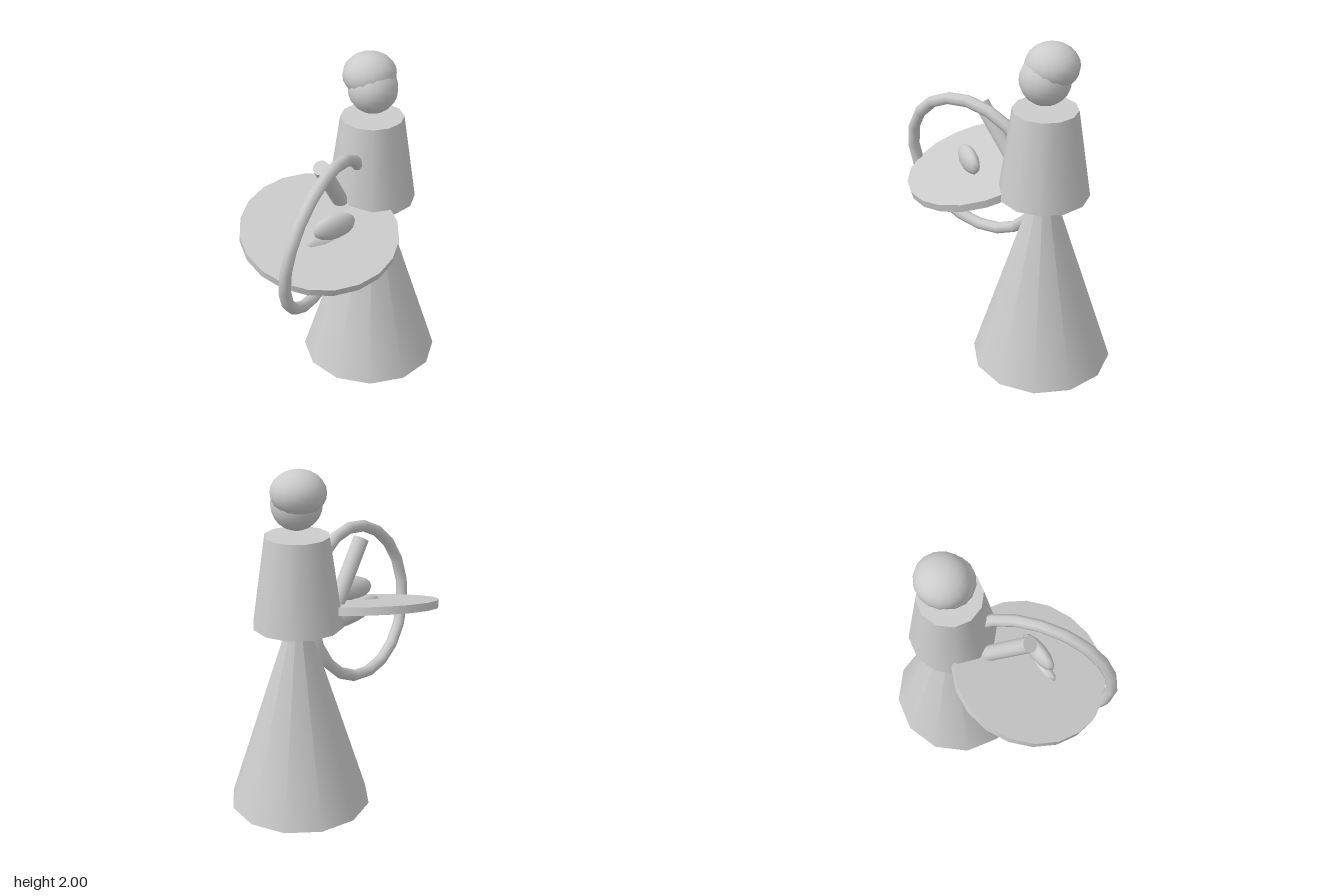
import * as THREE from 'three';

const material = new THREE.MeshStandardMaterial({ color: 0xcccccc });

export function createModel() {
  const model = new THREE.Group();
  model.name = 'figureWithTray';

  const add = (name, geometry, x, y, z) => {
    const mesh = new THREE.Mesh(geometry, material);
    mesh.name = name;
    mesh.position.set(x, y, z);
    model.add(mesh);
    return mesh;
  };
  const ellipsoid = (rx, ry, rz, w = 16, h = 12) =>
    new THREE.SphereGeometry(1, w, h).scale(rx, ry, rz);

  // Standing figure: conical skirt, tapered coat, head and hair
  const bx = 0.245, bz = -0.115;
  add('skirt', new THREE.ConeGeometry(0.415, 1.3, 12), bx, 0.65, bz);
  add('coat', new THREE.CylinderGeometry(0.183, 0.26, 0.52, 12), bx, 1.37, bz);
  add('head', ellipsoid(0.143, 0.143, 0.143), bx, 1.803, -0.112);
  add('hair', ellipsoid(0.155, 0.125, 0.15), bx, 1.875, -0.15);

  // Tilted round tray
  const tray = add('tray', new THREE.CylinderGeometry(0.45, 0.45, 0.046, 20), -0.215, 1.105, 0.08);
  tray.rotation.set(THREE.MathUtils.degToRad(15), 0, THREE.MathUtils.degToRad(3.5));

  // Large hoop crossing the tray, its far side sunk in the body
  const hoop = add('hoop', new THREE.TorusGeometry(0.447, 0.035, 8, 20), -0.21, 1.11, 0.13);
  const across = new THREE.Vector3(0.372, -0.013, -0.245).normalize();
  const up = new THREE.Vector3(0.045, 0.445, 0.05);
  const normal = new THREE.Vector3().crossVectors(across, up).normalize();
  up.crossVectors(normal, across);
  hoop.quaternion.setFromRotationMatrix(new THREE.Matrix4().makeBasis(across, up, normal));

  // Slanted rod rising from the tray
  const foot = new THREE.Vector3(0, 1.175, -0.055);
  const tip = new THREE.Vector3(-0.2, 1.51, 0.08);
  const along = tip.clone().sub(foot);
  const mid = foot.clone().lerp(tip, 0.5);
  const rod = add('rod', new THREE.CylinderGeometry(0.046, 0.046, along.length(), 12), mid.x, mid.y, mid.z);
  rod.quaternion.setFromUnitVectors(new THREE.Vector3(0, 1, 0), along.normalize());

  // Rounded lumps above and below the tray
  add('upperLump', ellipsoid(0.133, 0.077, 0.047, 12, 8), -0.172, 1.178, 0.175);
  const lower = add('lowerLump', ellipsoid(0.2, 0.075, 0.048, 12, 8), -0.16, 1.035, 0.16);
  lower.rotation.z = -0.35;

  return model;
}
